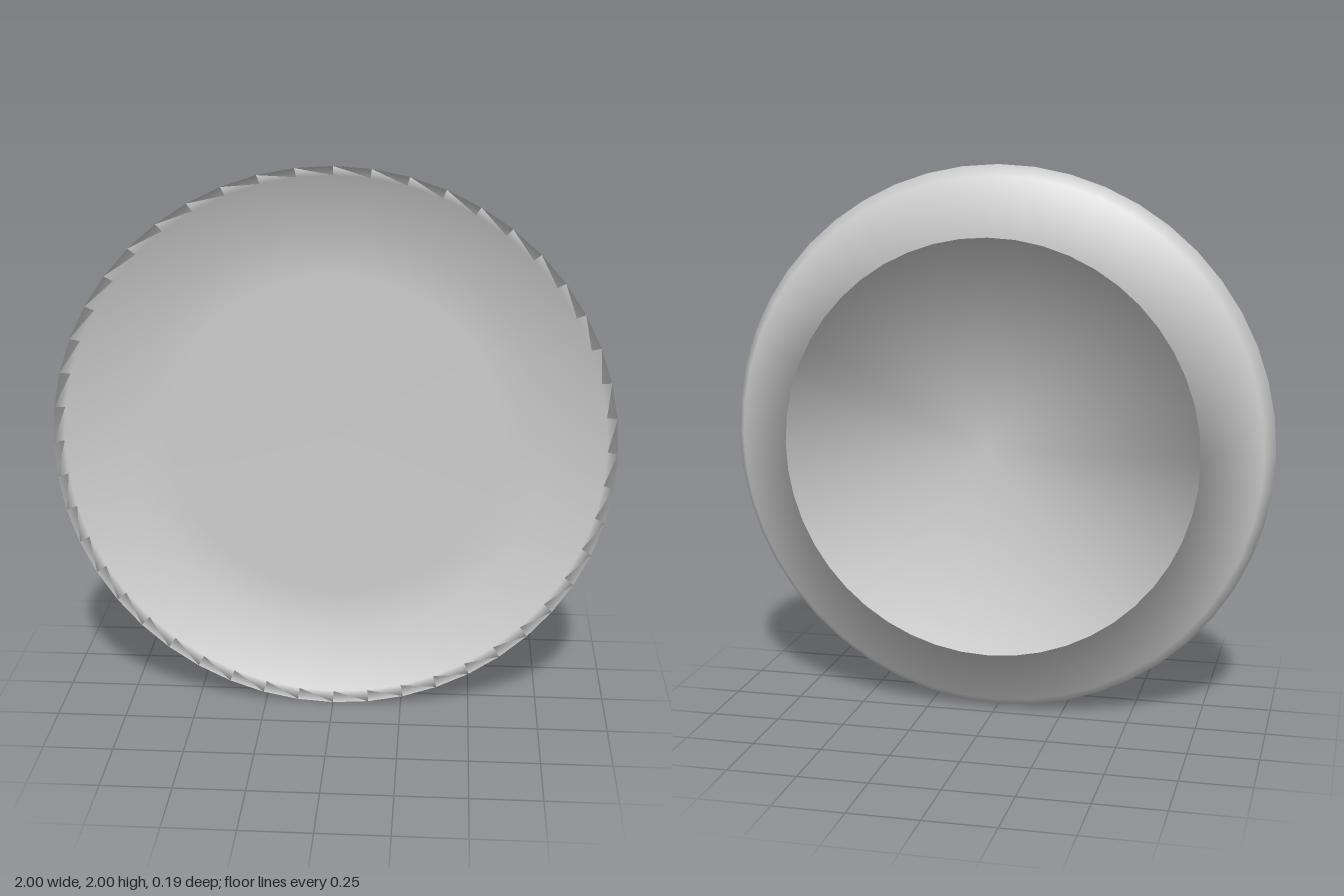
import * as THREE from 'three';

const SEGMENTS = 48;
const FOOT = [0.755, -0.08];

export function createModel() {
  const group = new THREE.Group();
  group.name = 'dish';
  const material = new THREE.MeshStandardMaterial({ color: 0xcccccc, side: THREE.DoubleSide });

  // Turns a [radius, z] profile around the z axis, standing the dish upright.
  // softness sets how the normals lean around the foot edge: 1 out, -1 in.
  const turn = (name, profile, softness) => {
    const points = profile.map(([r, z]) => new THREE.Vector2(r, z));
    const geometry = new THREE.LatheGeometry(points, SEGMENTS);
    geometry.rotateX(Math.PI / 2);

    const { position, normal } = geometry.attributes;
    const n = new THREE.Vector3();
    for (let i = 0; i < position.count; i++) {
      n.fromBufferAttribute(position, i);
      if (n.z > -0.07) continue;
      n.setZ(0.22).normalize().multiplyScalar(softness);
      normal.setXYZ(i, n.x, n.y, n.z);
    }

    const mesh = new THREE.Mesh(geometry, material);
    mesh.name = name;
    mesh.position.y = 1;
    group.add(mesh);
  };

  // Flared wall from the foot up to the lip, then the shallow bowl
  turn('wallAndBowl', [
    FOOT, [0.963, 0.04], [1, 0.093],
    [0.965, 0.072], [0.76, -0.015], [0.6, -0.019], [0, -0.03],
  ], 1);

  // Slightly domed base inside the foot edge
  turn('base', [[0, -0.095], FOOT], -1);

  return group;
}
